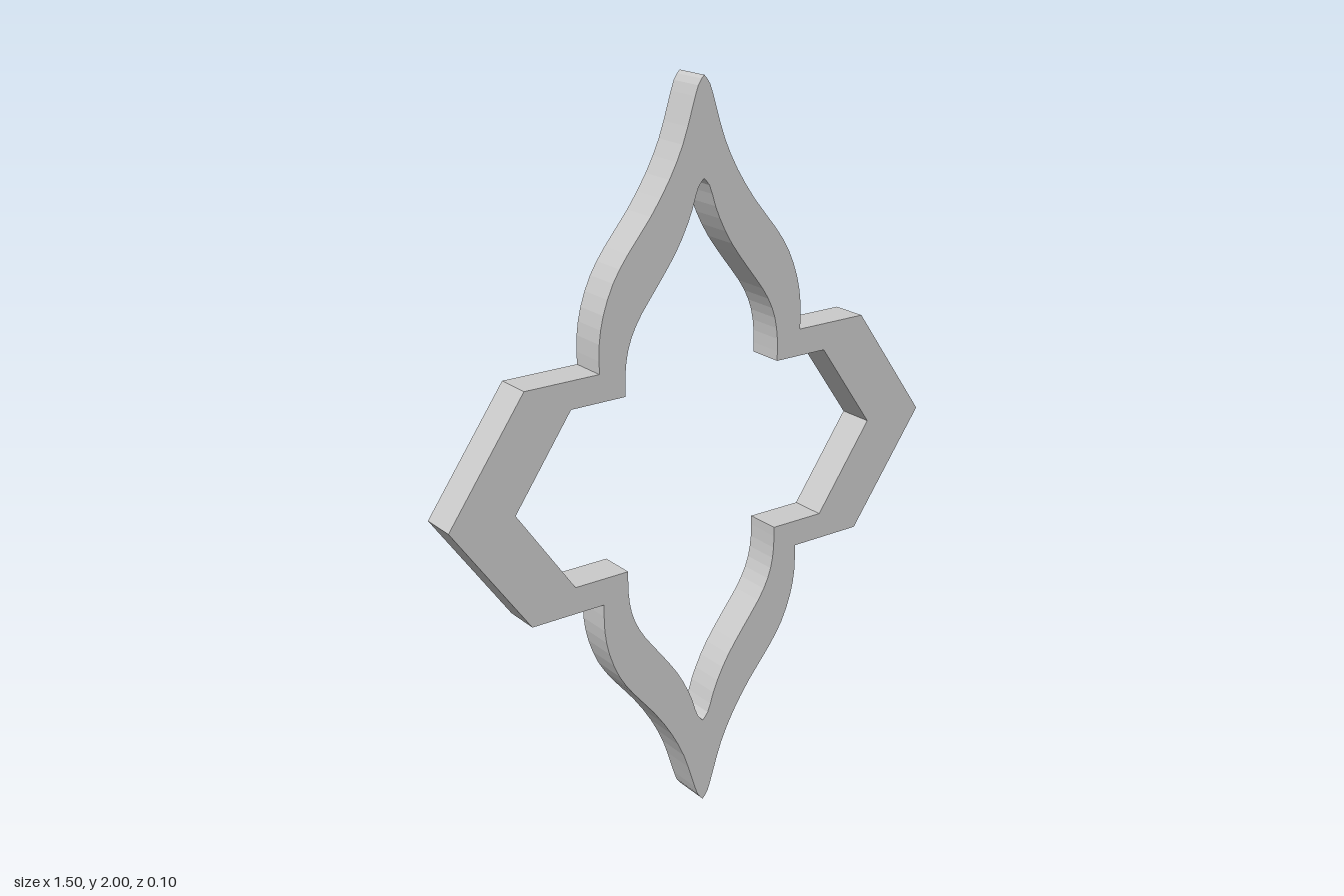
import * as THREE from 'three';

const v = (x, y) => new THREE.Vector2(x, y);

// Quarter outline (side point to top point, relative to the centre), mirrored to a full loop.
function fullOutline(arm, petal, divisions) {
  const curve = new THREE.SplineCurve(petal.map(([x, y]) => v(x, y))).getPoints(divisions);
  const q = [...arm.map(([x, y]) => v(x, y)), ...curve];
  const topLeft = q.slice(0, -1).reverse().map(p => v(-p.x, p.y));
  const half = [...q, ...topLeft];
  const bottom = half.slice(1, -1).reverse().map(p => v(p.x, -p.y));
  return [...half, ...bottom];
}

export function createModel() {
  const group = new THREE.Group();
  group.name = 'quatrefoilFrame';

  // Outer edge: pointed side arms and ogee petals
  const outer = fullOutline(
    [[0.75, 0], [0.53, 0.31]],
    [[0.316, 0.31], [0.315, 0.385], [0.302, 0.455], [0.272, 0.53], [0.228, 0.595], [0.16, 0.677],
      [0.104, 0.76], [0.064, 0.84], [0.037, 0.92], [0.018, 0.977], [0, 1]], 20);

  // Inner opening
  const inner = fullOutline(
    [[0.566, 0], [0.4, 0.237]],
    [[0.24, 0.237], [0.239, 0.305], [0.226, 0.37], [0.194, 0.433], [0.135, 0.51],
      [0.082, 0.583], [0.042, 0.66], [0.019, 0.727], [0, 0.75]], 18);

  const shape = new THREE.Shape(outer);
  shape.holes.push(new THREE.Path(inner));
  const geometry = new THREE.ExtrudeGeometry(shape, { depth: 0.1, bevelEnabled: false, steps: 1 });
  geometry.translate(0, 1, -0.05);

  const frame = new THREE.Mesh(geometry, new THREE.MeshStandardMaterial({ color: 0xcccccc, flatShading: true }));
  frame.name = 'frame';
  group.add(frame);
  return group;
}
